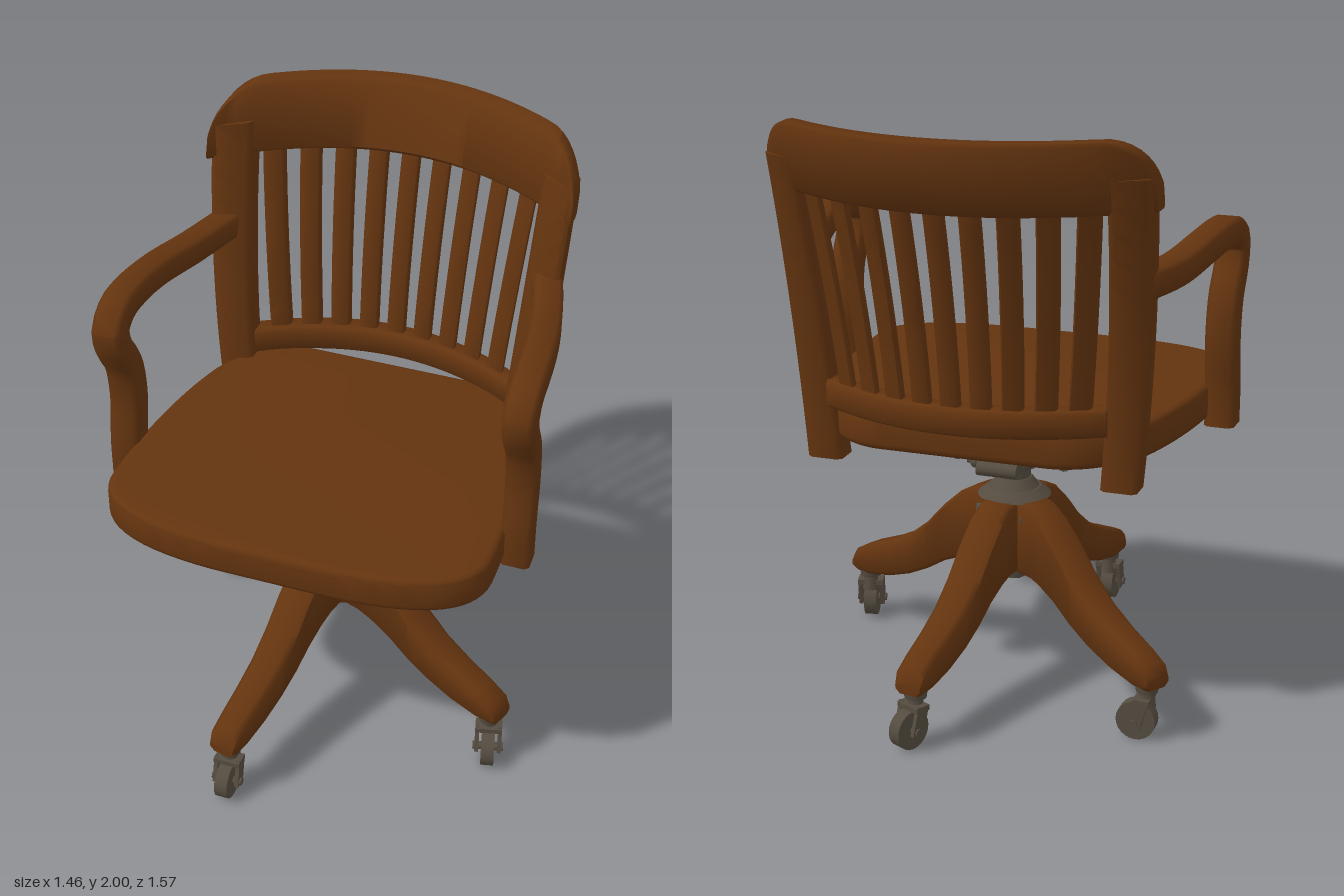
import * as THREE from 'three';
import { toCreasedNormals } from 'three/addons/utils/BufferGeometryUtils.js';

const HUB = [-0.015, 0.02]; // x, z of the swivel axis

// Chamfered rectangle, centred on 0, as eight [a, b] pairs
function chamferRect(ha, hb, c = 0.015) {
  return [[ha - c, hb], [ha, hb - c], [ha, c - hb], [ha - c, -hb],
    [c - ha, -hb], [-ha, c - hb], [-ha, hb - c], [c - ha, hb]];
}

// Closed skin over a list of rings (each a list of [x, y, z]), always facing outwards
function loft(rings) {
  const n = rings[0].length, tris = [];
  for (let i = 0; i < rings.length - 1; i++) {
    for (let j = 0; j < n; j++) {
      const k = (j + 1) % n;
      const a = rings[i][j], b = rings[i][k], c = rings[i + 1][k], d = rings[i + 1][j];
      tris.push([a, b, c], [a, c, d]);
    }
  }
  const first = rings[0], last = rings[rings.length - 1];
  for (let j = 1; j < n - 1; j++) {
    tris.push([first[0], first[j + 1], first[j]], [last[0], last[j], last[j + 1]]);
  }
  let volume = 0;
  for (const [a, b, c] of tris) {
    volume += a[0] * (b[1] * c[2] - b[2] * c[1]) + a[1] * (b[2] * c[0] - b[0] * c[2])
      + a[2] * (b[0] * c[1] - b[1] * c[0]);
  }
  if (volume < 0) tris.forEach((t) => t.reverse());
  const geo = new THREE.BufferGeometry();
  geo.setAttribute('position', new THREE.Float32BufferAttribute(tris.flat(2), 3));
  return toCreasedNormals(geo, 0.9);
}

// Curved, leaning middle surface of the backrest
function backZ(x, y) {
  const t = y - 1.05;
  return -0.53 - 0.12 * t - 0.11 * t * t + 0.65 * x * x;
}

export function createModel() {
  const model = new THREE.Group();
  const wood = new THREE.MeshStandardMaterial({ color: 0x64340f });
  wood.name = 'brown wood';
  const metal = new THREE.MeshStandardMaterial({ color: 0x554c40 });
  metal.name = 'dull metal';

  function add(name, geo, mat, parent = model, x = 0, y = 0, z = 0) {
    const mesh = new THREE.Mesh(geo, mat);
    mesh.name = name;
    mesh.position.set(x, y, z);
    parent.add(mesh);
    return mesh;
  }
  const cyl = (rTop, rBottom, h, sides = 24) => new THREE.CylinderGeometry(rTop, rBottom, h, sides);

  // Seat: rounded front, tapering to the back
  const s = new THREE.Shape();
  s.moveTo(0, 0.66);
  s.lineTo(0.2, 0.66);
  s.bezierCurveTo(0.5, 0.65, 0.65, 0.57, 0.65, 0.42);
  s.bezierCurveTo(0.65, 0.2, 0.62, -0.05, 0.56, -0.23);
  s.bezierCurveTo(0.51, -0.35, 0.4, -0.46, 0.28, -0.46);
  s.lineTo(-0.28, -0.46);
  s.bezierCurveTo(-0.4, -0.46, -0.51, -0.35, -0.56, -0.23);
  s.bezierCurveTo(-0.62, -0.05, -0.65, 0.2, -0.65, 0.42);
  s.bezierCurveTo(-0.65, 0.57, -0.5, 0.65, -0.2, 0.66);
  const seat = new THREE.ExtrudeGeometry(s, {
    depth: 0.075, curveSegments: 14, bevelSize: 0.025, bevelThickness: 0.025, bevelOffset: -0.025, bevelSegments: 4,
  });
  seat.rotateX(Math.PI / 2);
  add('seat', toCreasedNormals(seat, 0.7), wood, model, 0, 1.02, 0);

  // Crest rail with rounded upper corners
  const crest = [];
  for (let i = 0; i <= 40; i++) {
    const x = 0.628 * Math.sin((i / 20 - 1) * Math.PI / 2);
    const e = Math.max(0, (Math.abs(x) - 0.49) / 0.14);
    const top = 1.83 + 0.17 * Math.sqrt(1 - e * e), mid = (top + 1.77) / 2;
    crest.push(chamferRect((top - 1.77) / 2, 0.042, 0.012).map(([a, b]) => [x, mid + a, backZ(x, mid + a) + b]));
  }
  add('crestRail', loft(crest), wood);

  // Lower back rail
  const rail = [];
  for (let i = 0; i <= 20; i++) {
    const x = -0.47 + 0.047 * i;
    rail.push(chamferRect(0.045, 0.042, 0.01).map(([a, b]) => [x, 1.085 + a, backZ(x, 1.085) + b]));
  }
  add('lowerBackRail', loft(rail), wood);

  // Nine slats, fanning out upwards
  for (let k = -4; k <= 4; k++) {
    const rings = [];
    for (let i = 0; i <= 8; i++) {
      const y = 1.1 + 0.7 * i / 8, cx = k * (0.097 + 0.015 * i / 8);
      rings.push(chamferRect(0.031, 0.018, 0.006).map(([a, b]) => [cx + a, y, backZ(cx + a, y) + b]));
    }
    add('backSlat', loft(rings), wood);
  }

  // Back posts and bent arms, one on each side
  const armLine = new THREE.CatmullRomCurve3([
    [0.235, 0.9], [0.235, 1.03], [0.217, 1.2], [0.237, 1.34], [0.293, 1.44], [0.305, 1.51],
    [0.25, 1.56], [0.14, 1.572], [0, 1.562], [-0.2, 1.535], [-0.43, 1.53],
  ].map(([z, y]) => new THREE.Vector3(0, y, z)));
  for (const side of [-1, 1]) {
    const post = [];
    for (let i = 0; i <= 12; i++) {
      const t = i / 12, y = 0.85 + 1.03 * t, cx = 0.5 + 0.09 * t - 0.028 * t * t;
      post.push(chamferRect(0.06, 0.052).map(([a, b]) =>
        [side * (cx + a), y, backZ(cx, y) + b + a * 0.55 * t]));
    }
    add(side > 0 ? 'leftBackPost' : 'rightBackPost', loft(post), wood);

    const arm = [];
    for (let i = 0; i <= 40; i++) {
      const p = armLine.getPointAt(i / 40), d = armLine.getTangentAt(i / 40);
      arm.push(chamferRect(0.05, 0.05 - 0.004 * i / 40, 0.014).map(([a, b]) => {
        const z = p.z + b * d.y, y = p.y - b * d.z;
        return [side * (0.68 - 0.21 * (0.35 - z) ** 2 + a), y, z];
      }));
    }
    add(side > 0 ? 'leftArm' : 'rightArm', loft(arm), wood);
  }

  // Swivel hub
  const hub = new THREE.Group();
  hub.name = 'swivelHub';
  hub.position.set(HUB[0], 0, HUB[1]);
  model.add(hub);
  add('hubBlock', cyl(0.11, 0.1, 0.25, 8), wood, hub, 0, 0.522, 0);
  add('hubFlange', cyl(0.09, 0.125, 0.03), metal, hub, 0, 0.662, 0);
  add('hubCollar', cyl(0.06, 0.09, 0.04), metal, hub, 0, 0.69, 0);
  add('spindle', cyl(0.055, 0.055, 0.25), metal, hub, 0, 0.8, 0);
  add('adjusterCollar', cyl(0.1, 0.08, 0.05), metal, hub, 0, 0.775, 0);
  add('seatPlate', cyl(0.065, 0.06, 0.05), metal, hub, 0, 0.895, 0);
  add('tiltBar', new THREE.BoxGeometry(0.4, 0.035, 0.1), metal, hub, 0, 0.785, 0);
  add('crossBar', new THREE.BoxGeometry(0.13, 0.04, 0.36), metal, hub, 0, 0.785, 0);
  for (const e of [-1, 1]) {
    add('tiltBarEnd', cyl(0.025, 0.025, 0.1, 12).rotateX(Math.PI / 2), metal, hub, e * 0.19, 0.785, 0);
    add('crossBarEnd', cyl(0.025, 0.025, 0.14, 12).rotateZ(Math.PI / 2), metal, hub, 0, 0.785, e * 0.17);
  }
  add('lockingLever', cyl(0.012, 0.012, 0.16, 10).rotateZ(Math.PI / 2), metal, hub, 0.1, 0.735, 0.03);
  add('leverKnob', new THREE.SphereGeometry(0.022, 12, 8), metal, hub, 0.15, 0.73, 0.03);
  add('bottomNut', cyl(0.05, 0.038, 0.07, 8), metal, hub, 0, 0.38, 0);

  // Legs: [distance from hub, top, bottom, half width]; the caster stem sits at 0.68
  const legProfile = [
    [0.02, 0.65, 0.39, 0.06], [0.14, 0.65, 0.39, 0.06], [0.2, 0.62, 0.375, 0.06], [0.28, 0.55, 0.34, 0.06],
    [0.36, 0.465, 0.29, 0.06], [0.45, 0.395, 0.245, 0.058], [0.55, 0.345, 0.21, 0.055],
    [0.65, 0.305, 0.19, 0.052], [0.71, 0.275, 0.19, 0.05], [0.73, 0.24, 0.195, 0.045],
  ];
  // Name, stem x, stem z, caster heading
  const feet = [['front', -0.155, 0.69, 0], ['left', 0.62, 0.245, 0.25],
    ['back', 0.09, -0.645, 2.7], ['right', -0.6, -0.36, Math.PI / 2]];
  for (const [name, fx, fz, heading] of feet) {
    const dx = fx - HUB[0], dz = fz - HUB[1];
    const stretch = Math.hypot(dx, dz) / 0.68, angle = Math.atan2(dx, dz);
    const rings = legProfile.map(([r, top, bottom, w]) =>
      chamferRect(w, (top - bottom) / 2, 0.016).map(([a, b]) => [a, (top + bottom) / 2 + b, r * stretch]));
    const leg = add(name + 'Leg', loft(rings), wood, hub);
    leg.rotation.y = angle;

    // Bolt between neighbouring legs
    const bolt = add('hubBolt', cyl(0.022, 0.022, 0.03, 10).rotateX(Math.PI / 2), metal, hub,
      0.115 * Math.sin(angle + 0.8), 0.59, 0.115 * Math.cos(angle + 0.8));
    bolt.rotation.y = angle + 0.8;

    // Swivelling caster
    const caster = new THREE.Group();
    caster.name = name + 'Caster';
    caster.position.set(fx, 0, fz);
    caster.rotation.y = heading;
    model.add(caster);
    add('casterCup', cyl(0.04, 0.036, 0.025, 16), metal, caster, 0, 0.182, 0);
    add('casterStem', cyl(0.024, 0.03, 0.06, 14), metal, caster, 0, 0.145, 0);
    add('casterWheel', cyl(0.066, 0.066, 0.045, 24).rotateZ(Math.PI / 2), metal, caster, 0, 0.068, 0.032);
    add('casterAxle', cyl(0.014, 0.014, 0.105, 10).rotateZ(Math.PI / 2), metal, caster, 0, 0.068, 0.032);
    add('forkBridge', new THREE.BoxGeometry(0.092, 0.018, 0.055), metal, caster, 0, 0.142, 0.01);
    for (const e of [-1, 1]) {
      const cheek = add('forkCheek', new THREE.BoxGeometry(0.014, 0.1, 0.045), metal, caster, e * 0.039, 0.1, 0.02);
      cheek.rotation.x = -0.25;
    }
  }
  return model;
}
